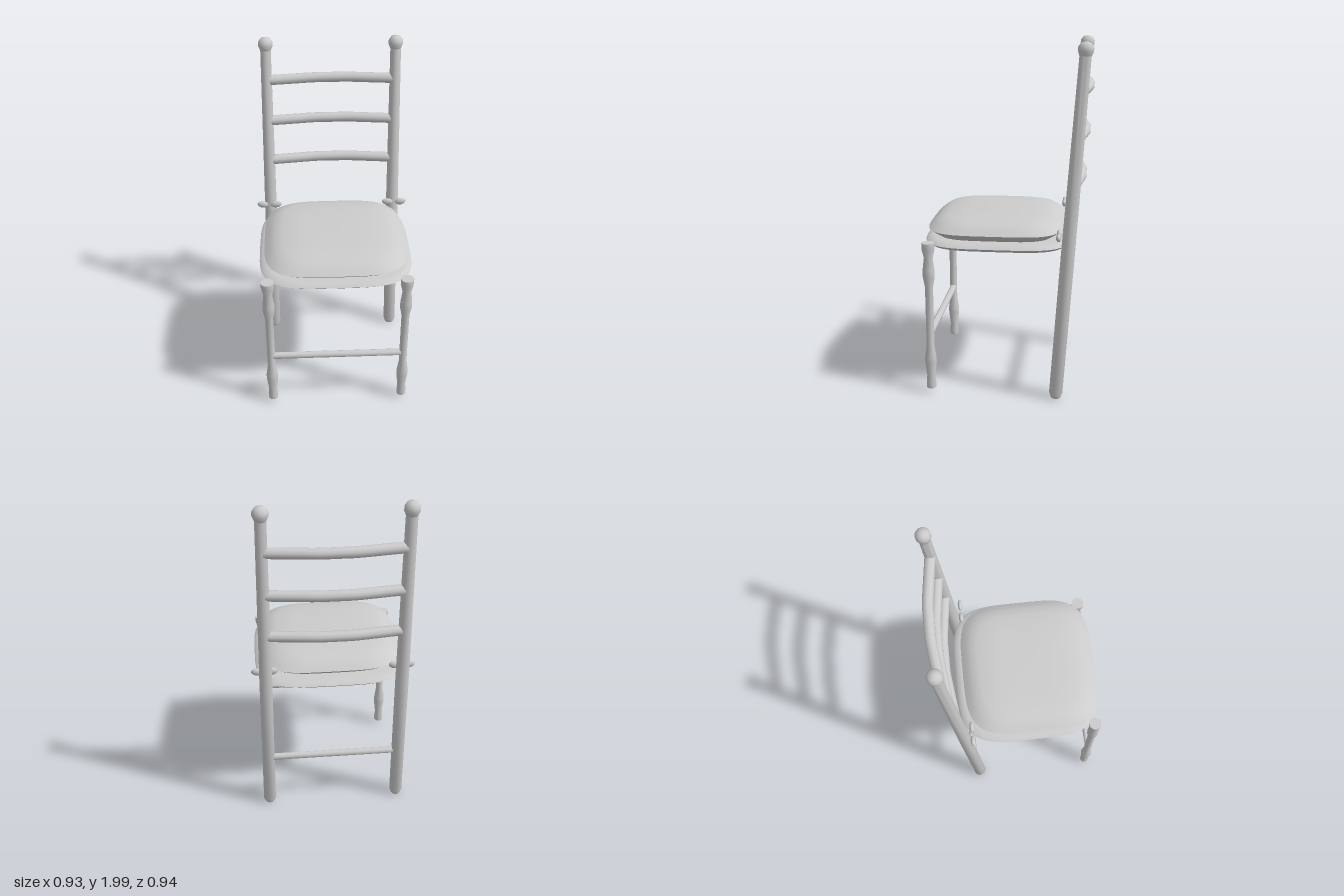
import * as THREE from 'three';
import { toCreasedNormals } from 'three/addons/utils/BufferGeometryUtils.js';

const grey = new THREE.MeshStandardMaterial({ color: 0xcccccc });
const V = (x, y, z) => new THREE.Vector3(x, y, z);

function add(group, name, geometry, crease = 0.8) {
  const mesh = new THREE.Mesh(toCreasedNormals(geometry, crease), grey);
  mesh.name = name;
  group.add(mesh);
  return mesh;
}

// Turned profile of [radius, height] pairs, bottom to top
function turned(profile, sides) {
  return new THREE.LatheGeometry(profile.map(([r, y]) => new THREE.Vector2(r, y)), sides);
}

// Rounded-square pad: stacked superellipse rings of [scale, height]
function pad(halfX, halfZ, centreZ, rings, sides = 56) {
  const positions = [], index = [];
  const power = (v) => Math.sign(v) * Math.sqrt(Math.abs(v));
  rings.forEach(([s, y], i) => {
    for (let j = 0; j < sides; j++) {
      const a = (j / sides) * Math.PI * 2;
      positions.push(halfX * s * power(Math.cos(a)), y, centreZ + halfZ * s * power(Math.sin(a)));
      if (i === rings.length - 1) continue;
      const p = i * sides + j, q = i * sides + ((j + 1) % sides);
      index.push(p, p + sides, q, q, p + sides, q + sides);
    }
  });
  const g = new THREE.BufferGeometry();
  g.setAttribute('position', new THREE.Float32BufferAttribute(positions, 3));
  g.setIndex(index);
  return g;
}

export function createModel() {
  const chair = new THREE.Group();
  chair.name = 'chair';

  // Back posts lean backwards and slightly inwards
  const foot = V(0.392, 0, -0.295), tip = V(0.372, 2, -0.428);
  const postAt = (y) => foot.clone().lerp(tip, y / 2);
  const postProfile = [[0, 0.003], [0.028, 0.003], [0.038, 0.03], [0.038, 0.9], [0.031, 1.94]];
  const knobProfile = [[0, 1.925], [0.032, 1.925], [0.042, 1.95], [0.041, 1.972], [0.026, 1.993], [0, 2]];
  // Front legs with turned swellings near both ends
  const legProfile = [[0, 0.03], [0.027, 0.03], [0.028, 0.06], [0.024, 0.1], [0.034, 0.19], [0.033, 0.22],
    [0.023, 0.29], [0.023, 0.64], [0.034, 0.7], [0.034, 0.74], [0.025, 0.81], [0.037, 0.865], [0.037, 0.9], [0, 0.9]];

  for (const side of [-1, 1]) {
    const label = side > 0 ? 'left' : 'right';
    const lean = tip.clone().sub(foot).normalize();
    lean.x *= side;
    for (const [name, profile, sides] of [['BackPost', postProfile, 10], ['Finial', knobProfile, 12]]) {
      const part = add(chair, label + name, turned(profile, sides));
      part.position.set(side * foot.x, 0, foot.z);
      part.quaternion.setFromUnitVectors(V(0, 1, 0), lean);
    }
    add(chair, label + 'FrontLeg', turned(legProfile, 12)).position.set(side * 0.39, 0, 0.422);

    // Bow loops tying the cushion to the post
    for (const x of [0.347, 0.429]) {
      const loop = add(chair, label + 'BowLoop', new THREE.SphereGeometry(1, 10, 8), 1.2);
      loop.scale.set(0.034, 0.022, 0.014);
      loop.position.set(side * x, 0.96, -0.302);
      loop.rotation.z = side * (x > 0.4 ? 0.15 : -0.15);
    }
  }

  // Bowed back rails, flat in the middle
  for (const y of [1.74, 1.49, 1.235]) {
    const p = postAt(y), midZ = p.z - 0.034;
    const path = new THREE.CurvePath();
    const pts = [V(-p.x, y, p.z), V(-0.1, y, midZ), V(0.1, y, midZ), V(p.x, y, p.z)];
    for (let i = 0; i < 3; i++) path.add(new THREE.LineCurve3(pts[i], pts[i + 1]));
    add(chair, 'backRail', new THREE.TubeGeometry(path, 18, 0.03, 10));
  }

  // Stretchers between the legs, front and back
  for (const z of [0.422, postAt(0.36).z]) {
    const bar = add(chair, 'stretcher', new THREE.CylinderGeometry(0.02, 0.02, 0.77, 10));
    bar.rotation.z = Math.PI / 2;
    bar.position.set(0, 0.36, z);
  }

  // Seat panel and domed cushion
  add(chair, 'seat', pad(0.44, 0.42, 0.05,
    [[0.001, 0.86], [0.88, 0.86], [0.95, 0.866], [1, 0.884], [0.96, 0.9], [0.9, 0.904], [0.001, 0.904]]), 0.7);
  add(chair, 'cushion', pad(0.41, 0.39, 0.065,
    [[0.001, 0.906], [0.86, 0.906], [0.93, 0.926], [1, 0.95], [0.93, 0.975], [0.85, 0.996],
      [0.74, 1.009], [0.5, 1.017], [0.001, 1.021]]), 0.7);

  return chair;
}
